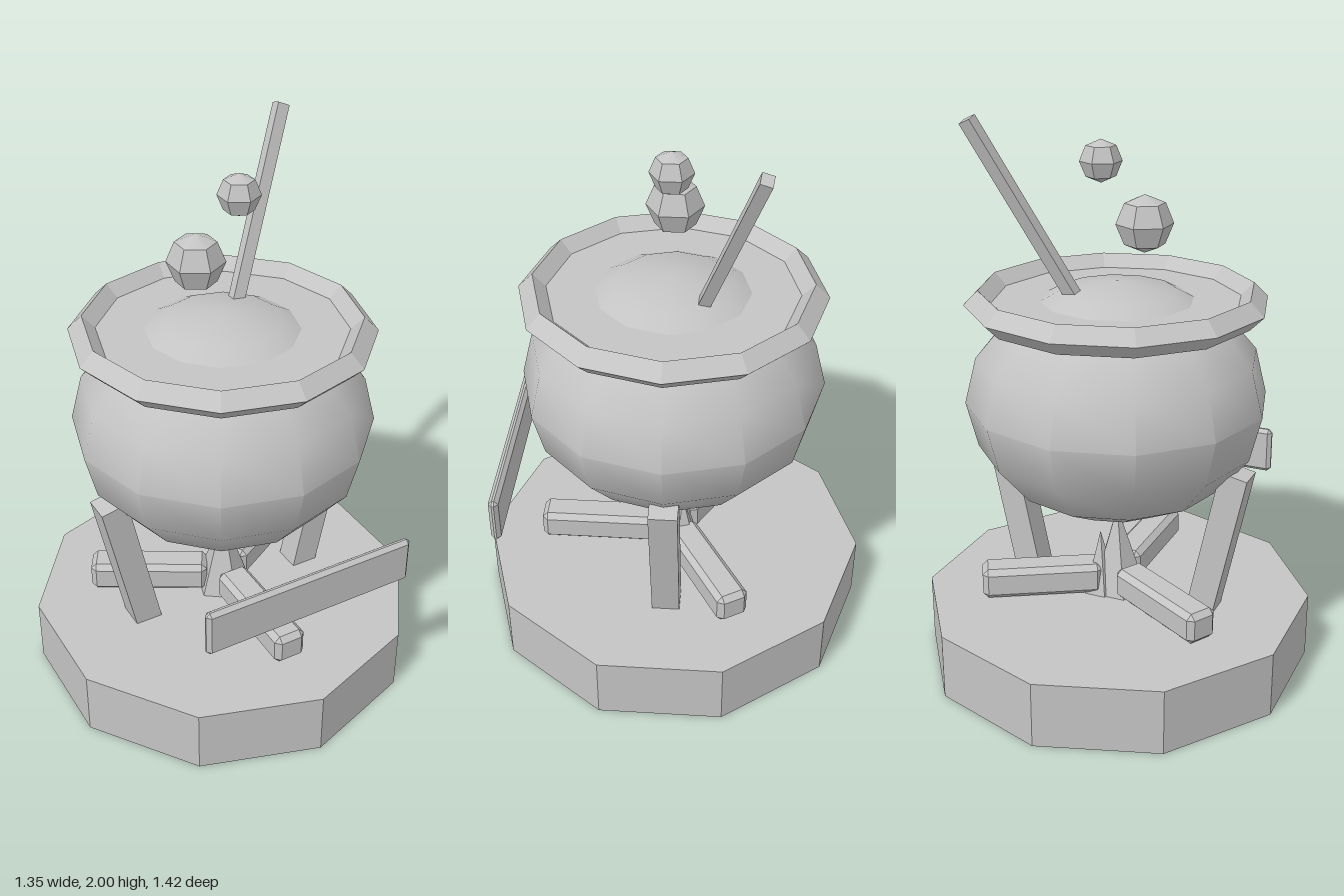
import * as THREE from 'three';
import { toCreasedNormals } from 'three/addons/utils/BufferGeometryUtils.js';
import { ConvexGeometry } from 'three/addons/geometries/ConvexGeometry.js';

// Box with chamfered edges
function chamferBox(w, h, d, c) {
  const points = [];
  for (const sx of [-1, 1]) for (const sy of [-1, 1]) for (const sz of [-1, 1]) {
    const x = w / 2, y = h / 2, z = d / 2;
    points.push(
      new THREE.Vector3(sx * x, sy * (y - c), sz * (z - c)),
      new THREE.Vector3(sx * (x - c), sy * y, sz * (z - c)),
      new THREE.Vector3(sx * (x - c), sy * (y - c), sz * z)
    );
  }
  return new ConvexGeometry(points);
}

export function createModel() {
  const model = new THREE.Group();
  model.name = 'cauldron';

  const smooth = new THREE.MeshStandardMaterial({ color: 0xc4c4c4 });
  smooth.name = 'plain grey';

  // Parts share one grey; faceted ones get creased normals
  function add(name, geometry, x, y, z, crease = 0.3) {
    const g = crease === null ? geometry : toCreasedNormals(geometry, crease);
    const mesh = new THREE.Mesh(g, smooth);
    mesh.name = name;
    mesh.position.set(x, y, z);
    model.add(mesh);
    return mesh;
  }

  // Ten-sided plinth
  add('base', new THREE.CylinderGeometry(0.71, 0.71, 0.24, 10), 0, 0.12, 0);

  // Squashed round pot; its crown rises through the liquid as a dome
  const pot = new THREE.SphereGeometry(0.535, 12, 8);
  pot.scale(1, 0.795, 1);
  pot.computeVertexNormals();
  add('pot', pot, 0, 1, 0, 0.7);

  // Diamond-section rim and the liquid inside it
  const rim = new THREE.TorusGeometry(0.478, 0.05, 4, 12);
  rim.rotateX(-Math.PI / 2);
  add('rim', rim, 0, 1.355, 0);
  add('liquid', new THREE.CylinderGeometry(0.45, 0.45, 0.02, 12), 0, 1.35, 0);

  // Splayed legs
  for (const side of [-1, 1]) {
    const leg = add(side > 0 ? 'leftLeg' : 'rightLeg',
      new THREE.BoxGeometry(0.1, 0.58, 0.1), side * 0.397, 0.505, 0);
    leg.rotation.z = -side * 0.206;
  }

  // Three logs around the fire
  for (let i = 0; i < 3; i++) {
    const a = i * Math.PI * 2 / 3;
    const log = add('log' + (i + 1), chamferBox(0.12, 0.115, 0.44, 0.02),
      Math.sin(a) * 0.28, 0.303, Math.cos(a) * 0.28);
    log.rotation.y = a;
  }

  // Flames
  add('largeFlame', new THREE.ConeGeometry(0.11, 0.34, 5), 0, 0.4, 0);
  add('smallFlame', new THREE.ConeGeometry(0.07, 0.25, 5), 0.05, 0.355, -0.04);

  // Blank plank in front
  add('plank', chamferBox(0.8, 0.175, 0.036, 0.014), 0, 0.63, 0.598);

  // Stirring stick
  const stick = add('stirringStick', new THREE.BoxGeometry(0.045, 0.8, 0.04), 0.232, 1.637, -0.187);
  stick.rotation.set(-0.3, 0, -0.42);

  // Rising bubbles
  for (const [name, r, x, y] of [['largeBubble', 0.099, -0.1, 1.632], ['smallBubble', 0.073, 0.06, 1.83]]) {
    const bubble = add(name, new THREE.SphereGeometry(r, 6, 4), x, y, 0, 0.5);
    bubble.rotation.y = Math.PI / 6;
  }

  return model;
}
